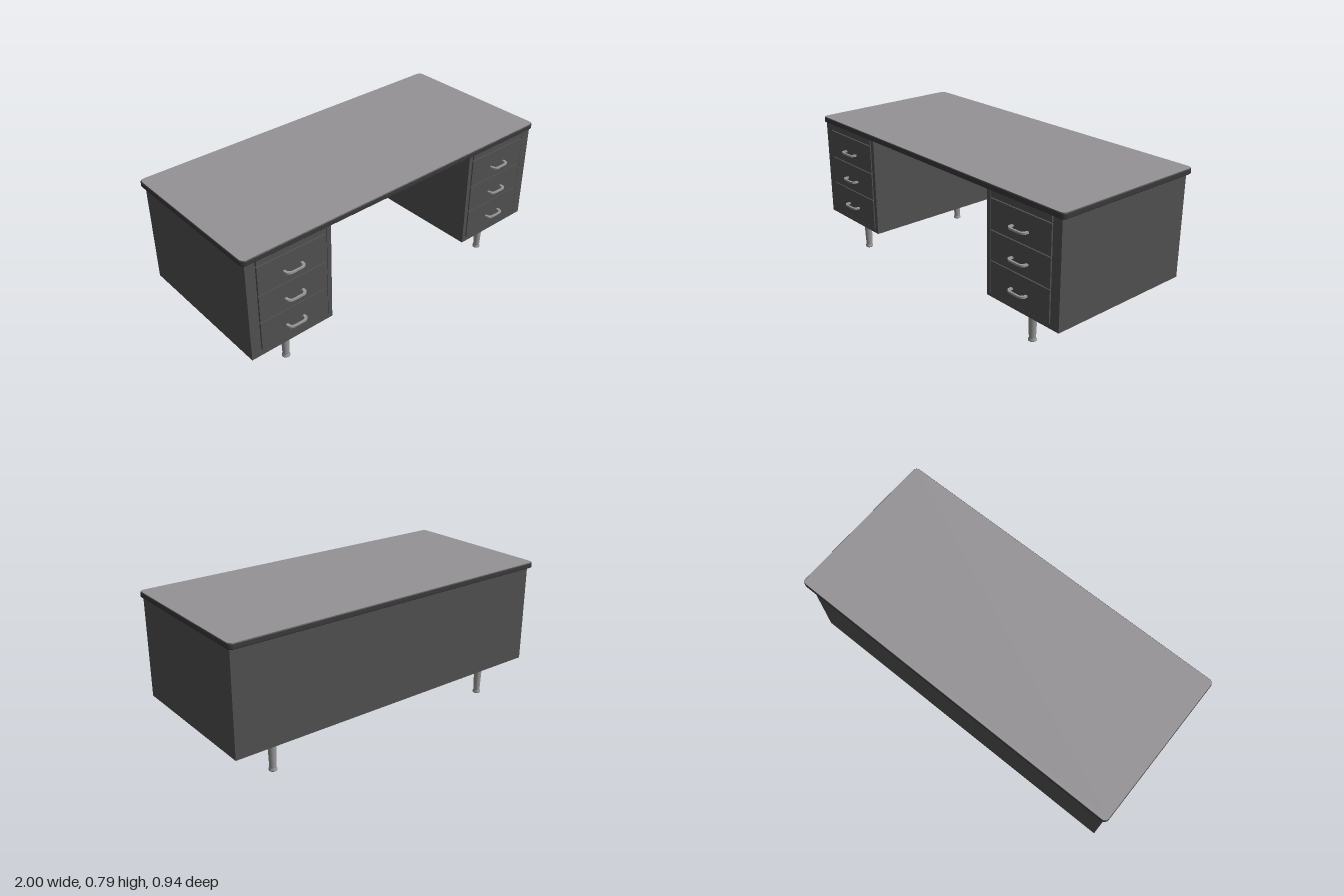
import * as THREE from 'three';

const mat = (name, color) => {
  const m = new THREE.MeshStandardMaterial({ color });
  m.name = name;
  return m;
};

export function createModel() {
  const desk = new THREE.Group();
  desk.name = 'desk';
  const steel = mat('dark grey steel', 0x505050);
  const trim = mat('black edge trim', 0x3a3a3a);
  const laminate = mat('grey laminate', 0x959296);
  const metal = mat('brushed metal', 0x989898);

  const add = (parent, name, geometry, material) => {
    const mesh = new THREE.Mesh(geometry, material);
    mesh.name = name;
    parent.add(mesh);
    return mesh;
  };
  // Box given by its minimum and maximum on each axis
  const box = (parent, name, material, x0, x1, y0, y1, z0, z1) => {
    const mesh = add(parent, name, new THREE.BoxGeometry(x1 - x0, y1 - y0, z1 - z0), material);
    mesh.position.set((x0 + x1) / 2, (y0 + y1) / 2, (z0 + z1) / 2);
    return mesh;
  };
  const roundedRect = (w, h, r) => {
    const s = new THREE.Shape();
    const x = w / 2, y = h / 2;
    s.moveTo(-x + r, -y);
    s.lineTo(x - r, -y);
    s.absarc(x - r, -y + r, r, -Math.PI / 2, 0);
    s.absarc(x - r, y - r, r, 0, Math.PI / 2);
    s.absarc(-x + r, y - r, r, Math.PI / 2, Math.PI);
    s.absarc(-x + r, -y + r, r, Math.PI, Math.PI * 1.5);
    return s;
  };

  // Desk top: rounded trim slab with a laminate sheet on it
  const bevel = 0.006;
  const slab = add(desk, 'topEdge', new THREE.ExtrudeGeometry(
    roundedRect(2 - 2 * bevel, 0.912 - 2 * bevel, 0.022),
    { depth: 0.031 - 2 * bevel, bevelEnabled: true, bevelSize: bevel, bevelThickness: bevel, bevelSegments: 3, curveSegments: 6 }), trim);
  slab.rotation.x = -Math.PI / 2;
  slab.position.set(0, 0.755 + bevel, -0.015);
  const sheet = add(desk, 'topSurface', new THREE.ExtrudeGeometry(
    roundedRect(1.992, 0.904, 0.025), { depth: 0.003, bevelEnabled: false, curveSegments: 6 }), laminate);
  sheet.rotation.x = -Math.PI / 2;
  sheet.position.set(0, 0.7845, -0.015);

  // Back panel closing the kneehole
  box(desk, 'backPanel', steel, -0.485, 0.485, 0.187, 0.757, -0.44, -0.425);

  // Flat bow pull, outlined in the horizontal plane
  const pull = new THREE.Shape();
  pull.moveTo(-0.058, 0);
  pull.lineTo(-0.058, 0.016);
  pull.quadraticCurveTo(-0.055, 0.036, -0.03, 0.038);
  pull.lineTo(0.03, 0.038);
  pull.quadraticCurveTo(0.055, 0.036, 0.058, 0.016);
  pull.lineTo(0.058, 0);
  pull.lineTo(0.044, 0);
  pull.quadraticCurveTo(0.046, 0.026, 0.026, 0.028);
  pull.lineTo(-0.026, 0.028);
  pull.quadraticCurveTo(-0.046, 0.026, -0.044, 0);
  const pullGeometry = new THREE.ExtrudeGeometry(pull, { depth: 0.01, bevelEnabled: false, curveSegments: 6 });
  pullGeometry.translate(0, 0, -0.005);
  pullGeometry.rotateX(Math.PI / 2);

  // Tapered leg with a small foot
  const legGeometry = new THREE.LatheGeometry([
    [0, 0], [0.019, 0], [0.022, 0.003], [0.022, 0.01], [0.018, 0.014],
    [0.018, 0.02], [0.024, 0.183],
  ].map(([x, y]) => new THREE.Vector2(x, y)), 20);

  for (const [side, s] of [['left', 1], ['right', -1]]) {
    const pedestal = new THREE.Group();
    pedestal.name = side + 'Pedestal';
    desk.add(pedestal);
    // Mirrored range helper
    const part = (name, m, x0, x1, ...rest) =>
      box(pedestal, name, m, Math.min(s * x0, s * x1), Math.max(s * x0, s * x1), ...rest);

    part('cabinet', steel, 0.485, 0.982, 0.187, 0.757, -0.44, 0.419);
    part('drawerGap', trim, 0.508, 0.928, 0.21, 0.757, 0.418, 0.42);

    // Face frame around the drawers
    part('innerStile', steel, 0.485, 0.51, 0.187, 0.757, 0.419, 0.428);
    part('outerStile', steel, 0.926, 0.982, 0.187, 0.757, 0.419, 0.428);
    part('bottomRail', steel, 0.51, 0.926, 0.187, 0.212, 0.419, 0.428);

    // Writing board and drawers
    part('writingBoard', steel, 0.515, 0.921, 0.72, 0.752, 0.419, 0.431);
    [[0.215, 0.385, 0.295], [0.391, 0.547, 0.459], [0.553, 0.712, 0.622]].forEach(([y0, y1, y]) => {
      part('drawerFront', steel, 0.515, 0.921, y0, y1, 0.419, 0.431);
      add(pedestal, 'drawerPull', pullGeometry, metal).position.set(s * 0.72, y, 0.431);
    });

    // Legs on square mounting plates
    for (const z of [0.342, -0.35]) {
      part('legPlate', trim, 0.68, 0.77, 0.182, 0.188, z - 0.045, z + 0.045);
      add(pedestal, 'leg', legGeometry, metal).position.set(s * 0.725, 0, z);
    }
  }
  return desk;
}
